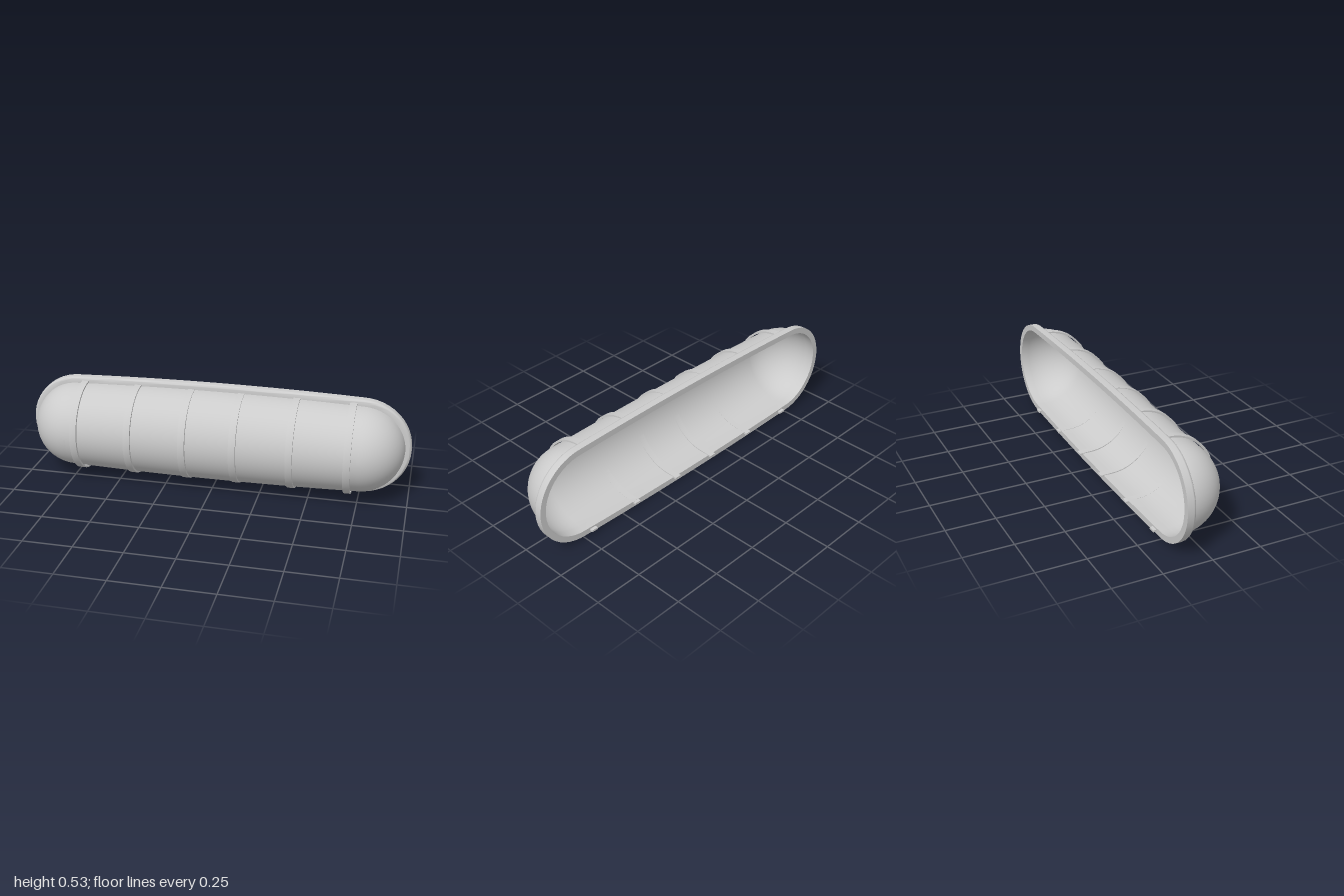
import * as THREE from 'three';
import { mergeVertices, toCreasedNormals } from 'three/addons/utils/BufferGeometryUtils.js';

const CY = 0.2665;      // height of the long axis
const END = 0.745;      // x where the rounded ends begin
const RIM_Z = -0.09;    // front of the rim, where the shell starts
const BACK_Z = -0.136;

// Slightly bowed stadium outline, counter-clockwise from the front.
// inset shrinks it evenly, k squeezes it towards the long axis.
function outline(inset, k, z) {
  const pts = [];
  const half = (x) => 0.2665 - 0.014 * (x / END) ** 2 - inset;
  const endSteps = 24, sideSteps = 16;
  for (const s of [1, -1]) {
    for (let i = 0; i <= endSteps; i++) {
      const a = -Math.PI / 2 + (Math.PI * i) / endSteps;
      pts.push([s * (END + (0.255 - inset) * k * Math.cos(a)), CY + s * half(END) * k * Math.sin(a), z]);
    }
    for (let i = 1; i < sideSteps; i++) {
      const x = s * END * (1 - (2 * i) / sideSteps);
      pts.push([x, CY + s * half(x) * k, z]);
    }
  }
  return pts;
}

// Skin a stack of outlines; closed joins the last one to the first
function skin(rows, closed) {
  const n = rows[0].length, index = [];
  const last = closed ? rows.length : rows.length - 1;
  for (let r = 0; r < last; r++) {
    const r2 = (r + 1) % rows.length;
    for (let j = 0; j < n; j++) {
      const j2 = (j + 1) % n;
      const a = r * n + j, b = r * n + j2, c = r2 * n + j2, d = r2 * n + j;
      index.push(a, b, c, a, c, d);
    }
  }
  const geo = new THREE.BufferGeometry();
  geo.setAttribute('position', new THREE.Float32BufferAttribute(rows.flat(2), 3));
  geo.setIndex(index);
  return geo;
}

// Thin half-capsule shell, open at the back
function shellGeometry() {
  const rows = [], steps = 20;
  for (let i = 0; i <= steps; i++) {
    const a = (Math.PI / 2) * (i / steps);
    const k = i === steps ? 0 : Math.cos(a);
    rows.push(outline(0.031, k, RIM_Z + 0.228 * Math.sin(a)));
  }
  const geo = mergeVertices(skin(rows, false), 1e-5);
  geo.computeVertexNormals();
  return geo;
}

// Rim ring: flat back, rounded outer front edge
function rimGeometry() {
  const rows = [outline(0, 1, BACK_Z)], r = 0.014;
  for (let i = 0; i <= 5; i++) {
    const a = (Math.PI / 2) * (i / 5);
    rows.push(outline(r * (1 - Math.cos(a)), 1, RIM_Z - r + r * Math.sin(a)));
  }
  rows.push(outline(0.031, 1, RIM_Z), outline(0.031, 1, BACK_Z));
  return toCreasedNormals(skin(rows, true), 0.7);
}

// Curved strap: band drawn in the z-y plane, extruded along x
function strapGeometry(width) {
  const outer = [], inner = [], steps = 22;
  for (let i = 0; i <= steps; i++) {
    const a = -Math.PI / 2 + (Math.PI * i) / steps;
    outer.push(new THREE.Vector2(RIM_Z + 0.243 * Math.cos(a), CY + 0.238 * Math.sin(a)));
    inner.push(new THREE.Vector2(RIM_Z + 0.23 * Math.cos(a), CY + 0.23 * Math.sin(a)));
  }
  const shape = new THREE.Shape([
    new THREE.Vector2(-0.152, 0.024), ...outer,
    new THREE.Vector2(-0.13, 0.506), new THREE.Vector2(-0.13, 0.497),
    ...inner.reverse(), new THREE.Vector2(-0.152, 0.034),
  ]);
  const geo = new THREE.ExtrudeGeometry(shape, { depth: width, bevelEnabled: false });
  geo.translate(0, 0, -width / 2).rotateY(-Math.PI / 2);
  return toCreasedNormals(geo, 0.5);
}

export function createModel() {
  const group = new THREE.Group();
  group.name = 'strappedCover';
  const solid = new THREE.MeshStandardMaterial({ color: 0xcccccc });
  const thin = new THREE.MeshStandardMaterial({ color: 0xcccccc, side: THREE.DoubleSide });
  const add = (name, geo, mat) => {
    const mesh = new THREE.Mesh(geo, mat);
    mesh.name = name;
    group.add(mesh);
    return mesh;
  };

  add('shell', shellGeometry(), thin);
  add('rim', rimGeometry(), solid);

  // Six straps, mirrored about the middle
  const strap = strapGeometry(0.035);
  for (const x of [0.13, 0.415, 0.7]) {
    add('leftStrap', strap, solid).position.x = x;
    add('rightStrap', strap, solid).position.x = -x;
  }
  return group;
}
